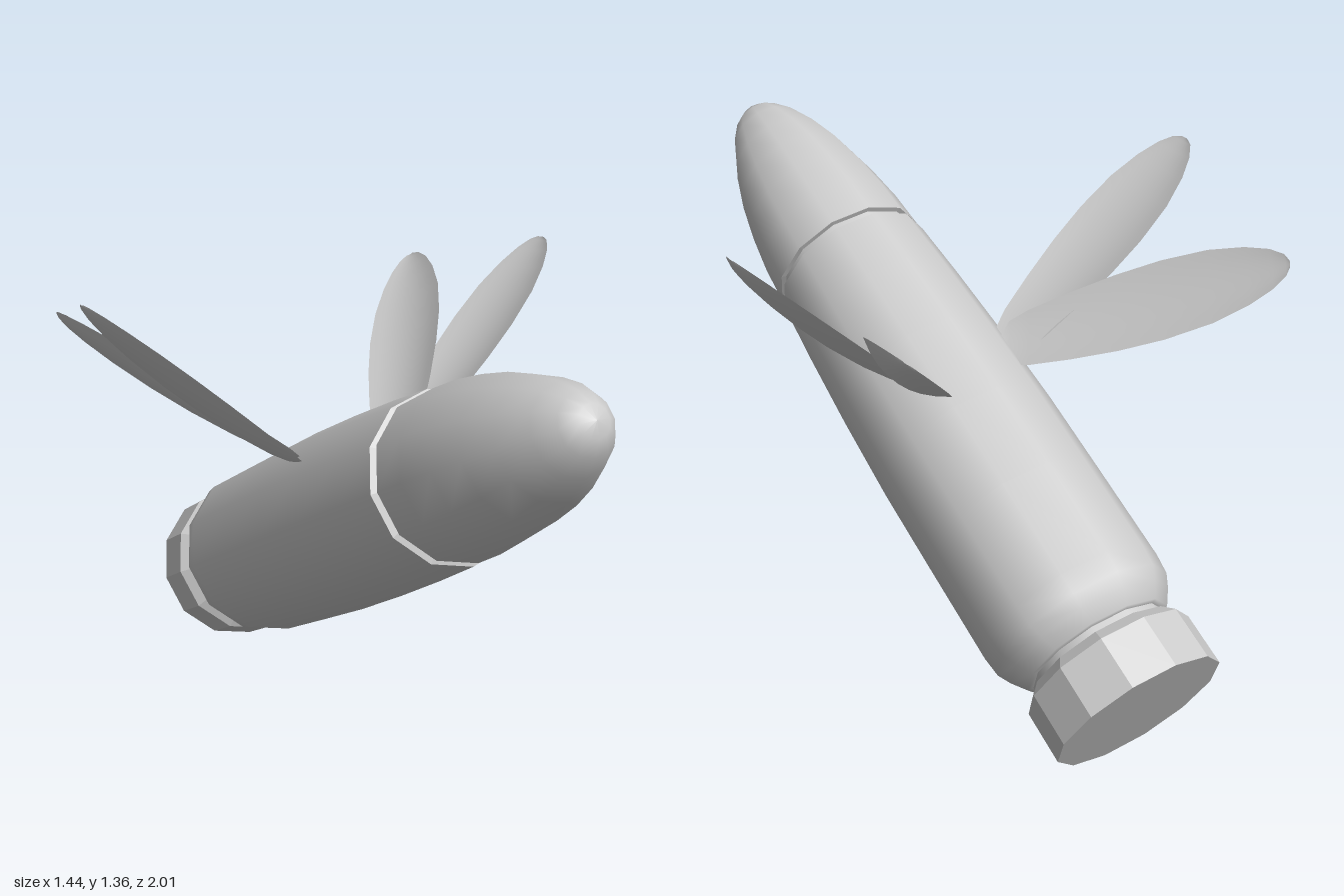
import * as THREE from 'three';

const smooth = new THREE.MeshStandardMaterial({ color: 0xcccccc });
const faceted = new THREE.MeshStandardMaterial({ color: 0xcccccc, flatShading: true });
const thin = new THREE.MeshStandardMaterial({ color: 0xcccccc, side: THREE.DoubleSide });

// Twelve-sided turned part; profile pairs are [radius, distance along the axis]
function turned(name, profile, material) {
  const points = profile.map(([r, t]) => new THREE.Vector2(r, t));
  const mesh = new THREE.Mesh(new THREE.LatheGeometry(points, 12), material);
  mesh.name = name;
  return mesh;
}

// Half width of a wing blade along its length: [fraction, half width]
const outline = [[0, 0.03], [0.03, 0.07], [0.1, 0.088], [0.25, 0.106], [0.42, 0.12], [0.58, 0.124],
  [0.74, 0.114], [0.86, 0.09], [0.94, 0.062], [0.985, 0.034], [1, 0.01]];

// Petal-shaped, slightly cupped blade made of two skins that meet at the rim
function blade(name, root, tip, normal) {
  const along = tip.clone().sub(root);
  const across = normal.clone().cross(along).normalize();
  const cols = 8, positions = [], index = [];
  for (const belly of [0.022, 0.045]) {
    const start = positions.length / 3;
    outline.forEach(([s, half], i) => {
      for (let j = 0; j <= cols; j++) {
        const m = (j / cols) * 2 - 1;
        const sag = belly * (1 - m * m) * Math.sqrt(Math.sin(Math.PI * Math.min(s, 0.999)));
        const p = root.clone().addScaledVector(along, s)
          .addScaledVector(across, half * m).addScaledVector(normal, -sag);
        positions.push(p.x, p.y, p.z);
        if (i && j) {
          const d = start + i * (cols + 1) + j, c = d - 1, b = d - cols - 1, a = b - 1;
          if (belly < 0.03) index.push(a, c, b, b, c, d);
          else index.push(a, b, c, b, d, c);
        }
      }
    });
  }
  // Reverse both skins so the upper one faces along the normal
  for (let k = 0; k < index.length; k += 3) [index[k + 1], index[k + 2]] = [index[k + 2], index[k + 1]];
  const geometry = new THREE.BufferGeometry();
  geometry.setAttribute('position', new THREE.Float32BufferAttribute(positions, 3));
  geometry.setIndex(index);
  geometry.computeVertexNormals();
  const mesh = new THREE.Mesh(geometry, thin);
  mesh.name = name;
  return mesh;
}

// Two blades sharing a root and lying in one plane
function wing(name, frontRoot, frontTip, rearRoot, rearTip) {
  const [fr, ft, rr, rt] = [frontRoot, frontTip, rearRoot, rearTip].map((p) => new THREE.Vector3(...p));
  const normal = ft.clone().sub(fr).cross(rt.clone().sub(rr)).normalize();
  if (normal.y < 0) normal.negate();
  const group = new THREE.Group();
  group.name = name;
  group.add(blade('frontBlade', fr, ft, normal), blade('rearBlade', rr, rt, normal));
  return group;
}

export function createModel() {
  const model = new THREE.Group();
  model.name = 'wingedCartridge';

  // Shell tilted nose-up by 30 degrees
  const shell = new THREE.Group();
  shell.name = 'shell';
  shell.position.set(0, 0.199, -0.88);
  shell.rotation.x = Math.PI / 3;
  shell.add(
    turned('baseRim', [[0, 0], [0.234, 0], [0.234, 0.14], [0.205, 0.17], [0.19, 0.172]], faceted),
    turned('baseGroove', [[0.19, 0.16], [0.19, 0.205]], smooth),
    turned('casing', [[0.19, 0.19], [0.205, 0.192], [0.232, 0.23], [0.25, 0.265], [0.256, 0.32], [0.257, 0.6],
      [0.257, 0.85], [0.25, 1.1], [0.239, 1.33], [0.227, 1.51]], smooth),
    turned('casingLip', [[0.227, 1.51], [0.208, 1.518]], faceted),
    turned('neckGroove', [[0.208, 1.515], [0.208, 1.54]], smooth),
    turned('noseLip', [[0.2, 1.535], [0.222, 1.537]], faceted),
    turned('nose', [[0.222, 1.537], [0.216, 1.65], [0.2, 1.77], [0.178, 1.88], [0.148, 1.98], [0.11, 2.07],
      [0.075, 2.125], [0.04, 2.157], [0, 2.166]], smooth),
  );
  model.add(shell);

  // Wings, each side posed a little differently
  model.add(
    wing('leftWing', [0.17, 0.85, -0.1], [0.72, 1.33, -0.24], [0.15, 0.86, -0.09], [0.55, 1.2, -0.69]),
    wing('rightWing', [-0.17, 0.86, -0.08], [-0.72, 1.355, -0.13], [-0.15, 0.86, -0.08], [-0.6, 1.18, -0.67]),
  );
  return model;
}
